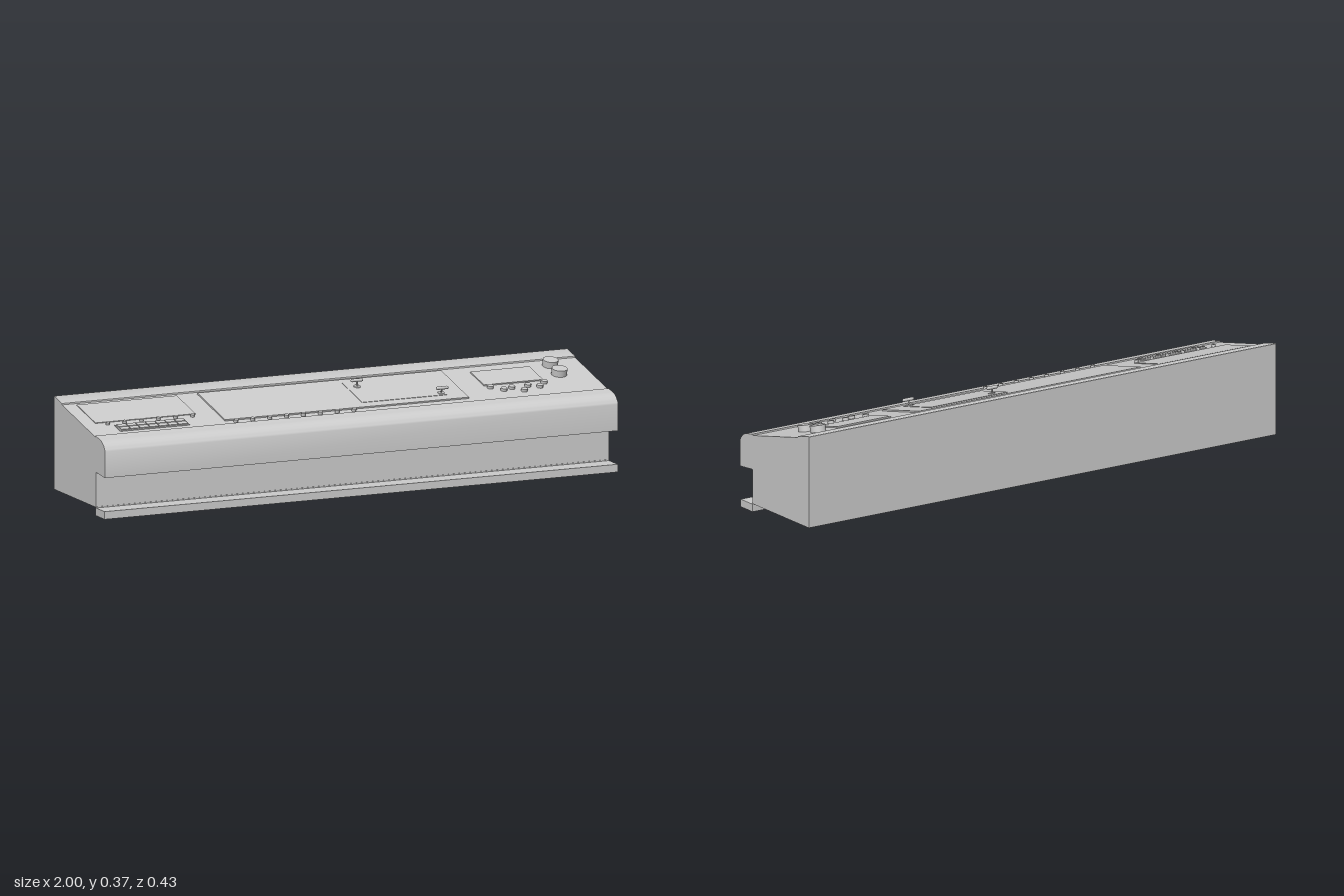
import * as THREE from 'three';
import { toCreasedNormals } from 'three/addons/utils/BufferGeometryUtils.js';

const material = new THREE.MeshStandardMaterial({ color: 0xcccccc });
const SLOPE = Math.atan(0.228);
const COS = Math.cos(SLOPE);

export function createModel() {
  const model = new THREE.Group();
  model.name = 'controlConsole';

  const add = (parent, name, geometry, x = 0, y = 0, z = 0) => {
    const mesh = new THREE.Mesh(geometry, material);
    mesh.name = name;
    mesh.position.set(x, y, z);
    parent.add(mesh);
    return mesh;
  };

  // Cabinet: side profile (z, y) with overhanging lip, rounded brow and recessed top
  const profile = new THREE.Shape();
  profile.moveTo(0.14, 0.03);
  profile.lineTo(0.14, 0.157);
  profile.lineTo(0.218, 0.15);
  profile.lineTo(0.218, 0.245);
  profile.bezierCurveTo(0.213, 0.263, 0.19, 0.28, 0.172, 0.281);
  profile.lineTo(0.137, 0.288);
  profile.lineTo(0.136, 0.283);
  profile.lineTo(-0.145, 0.347);
  profile.lineTo(-0.146, 0.352);
  profile.lineTo(-0.211, 0.367);
  profile.lineTo(-0.215, 0.366);
  profile.lineTo(-0.215, 0.03);
  profile.closePath();
  const body = new THREE.ExtrudeGeometry(profile, { depth: 2, bevelEnabled: false, curveSegments: 8 });
  body.rotateY(-Math.PI / 2).translate(1, 0, 0);
  add(model, 'cabinet', toCreasedNormals(body, 0.5));

  // Foot rail
  add(model, 'footRail', new THREE.BoxGeometry(2, 0.028, 0.075), 0, 0.014, 0.1765);
  add(model, 'footRailJoint', new THREE.BoxGeometry(2, 0.006, 0.004), 0, 0.029, 0.14);

  // Sloped control surface: local y is the surface normal
  const deck = new THREE.Group();
  deck.name = 'controlDeck';
  deck.position.y = 0.3145;
  deck.rotation.x = SLOPE;
  model.add(deck);

  // Flat plate between two x and two plan-view z limits
  const plate = (name, x0, x1, z0, z1, bottom, top) =>
    add(deck, name, new THREE.BoxGeometry(x1 - x0, top - bottom, (z1 - z0) / COS),
      (x0 + x1) / 2, (bottom + top) / 2, (z0 + z1) / 2 / COS);
  const button = (name, x, z, r, h, sides = 12) =>
    add(deck, name, new THREE.CylinderGeometry(r, r, h, sides), x, h / 2, z / COS);

  // Raised panels
  plate('centrePanel', -0.48, 0.47, -0.13, 0.104, -0.002, 0.005);
  plate('leverPanel', 0.07, 0.4, -0.1, 0.07, 0.004, 0.0065);
  plate('leftPanel', -0.95, -0.56, -0.13, 0.028, -0.002, 0.002);
  plate('rightPanel', 0.57, 0.8, -0.1, 0.015, -0.002, 0.004);

  // Keypad: frame bars and two rows of keys
  plate('keypadBase', -0.89, -0.62, 0.06, 0.11, -0.002, 0.002);
  for (let row = 0; row < 2; row++) {
    for (let i = 0; i < 7; i++) {
      const x = -0.885 + i * 0.0375;
      const z = 0.063 + row * 0.024;
      plate('key', x, x + 0.034, z, z + 0.02, 0, 0.006);
    }
  }

  // Indicator lamps above the keypad
  for (let i = 0; i < 6; i++) button('indicatorLamp', -0.91 + i * 0.066, 0.045, 0.007, 0.009);

  // Push buttons along the front edge
  for (let i = 0; i < 8; i++) button('pushButton', -0.445 + i * 0.0657, 0.12, 0.008, 0.011);

  // Small rotary switches
  [[0.585, 0.035], [0.625, 0.065], [0.66, 0.055], [0.695, 0.085],
    [0.725, 0.05], [0.765, 0.065], [0.795, 0.035]].forEach(([x, z]) =>
    button('rotarySwitch', x, z, 0.012, 0.01, 10));

  // Large knobs
  for (const z of [-0.022, -0.098]) button('largeKnob', 0.88, z, 0.028, 0.024, 24);

  // T-handled levers leaning on the deck
  const lever = (x, z, lean) => {
    const group = new THREE.Group();
    group.name = 'lever';
    group.position.set(x, 0.005, z / COS);
    deck.add(group);
    add(group, 'leverBase', new THREE.CylinderGeometry(0.012, 0.014, 0.004, 14), 0, 0.002, 0);
    const arm = new THREE.Group();
    arm.rotation.x = lean;
    group.add(arm);
    add(arm, 'leverStem', new THREE.CylinderGeometry(0.003, 0.003, 0.024, 10), 0, 0.012, 0);
    const grip = new THREE.CapsuleGeometry(0.006, 0.036, 4, 12).rotateZ(Math.PI / 2);
    add(arm, 'leverGrip', grip, 0, 0.024, 0);
  };
  lever(0.11, -0.06, -0.3);
  lever(0.385, 0.052, 0.25);

  return model;
}
